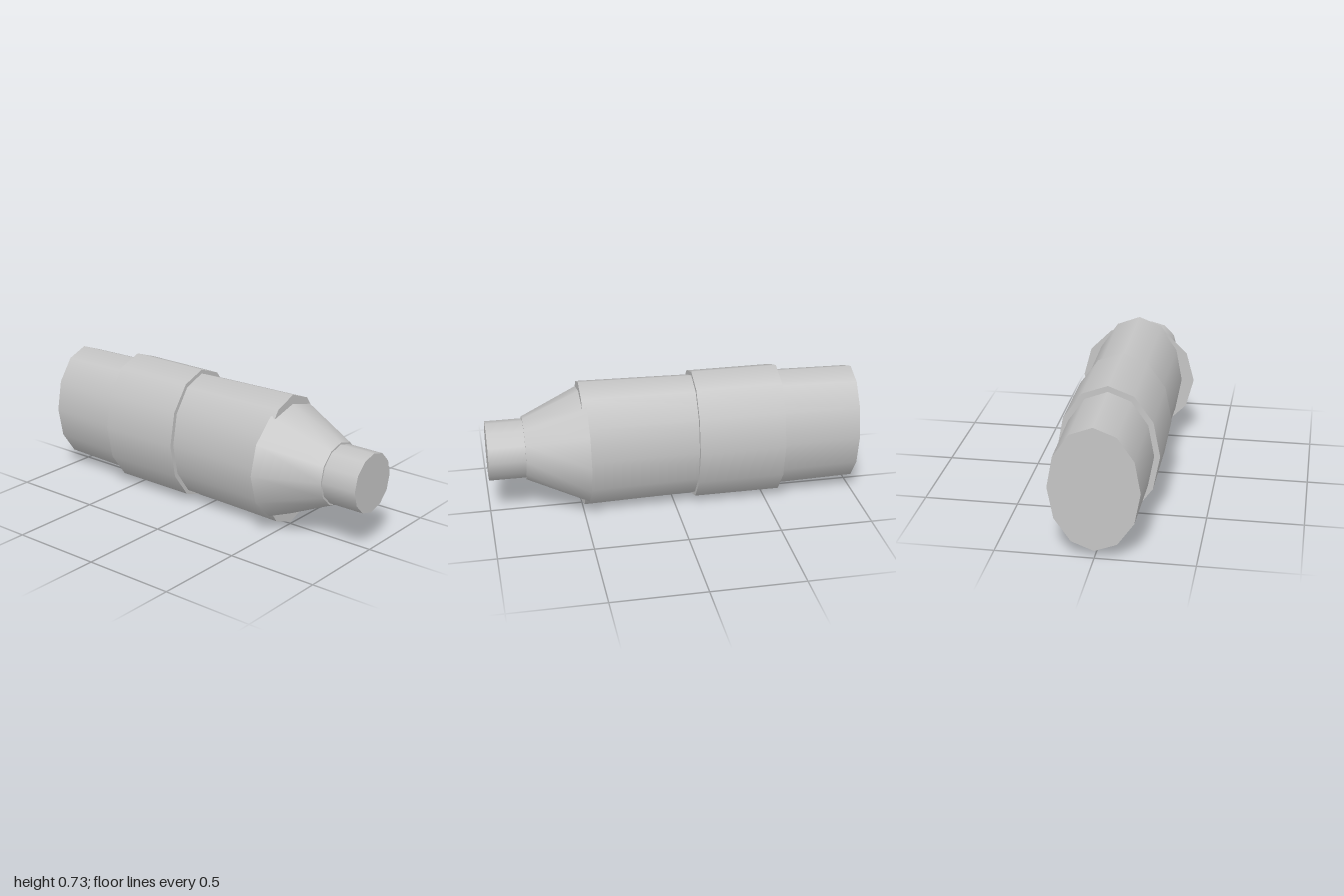
import * as THREE from 'three';

const AXIS_Y = 0.367;

export function createModel() {
  const group = new THREE.Group();
  const grey = new THREE.MeshStandardMaterial({ color: 0xc4c4c4 });
  grey.name = 'grey';

  // Twelve-sided capped tube along x; radii are heights, depth squashes it in z
  function section(name, x0, x1, r0, r1, depth = 1) {
    const g = new THREE.CylinderGeometry(r1, r0, x1 - x0, 12);
    g.rotateZ(-Math.PI / 2);
    g.scale(1, 1, depth);
    const mesh = new THREE.Mesh(g, grey);
    mesh.name = name;
    mesh.position.set((x0 + x1) / 2, AXIS_Y, 0);
    group.add(mesh);
  }

  section('body', -1, 0.5, 0.327, 0.358, 0.698);
  section('collar', -0.577, -0.11, 0.367, 0.367, 0.721);
  section('cone', 0.476, 0.803, 0.319, 0.169);
  section('tip', 0.78, 1, 0.159, 0.159);

  return group;
}
